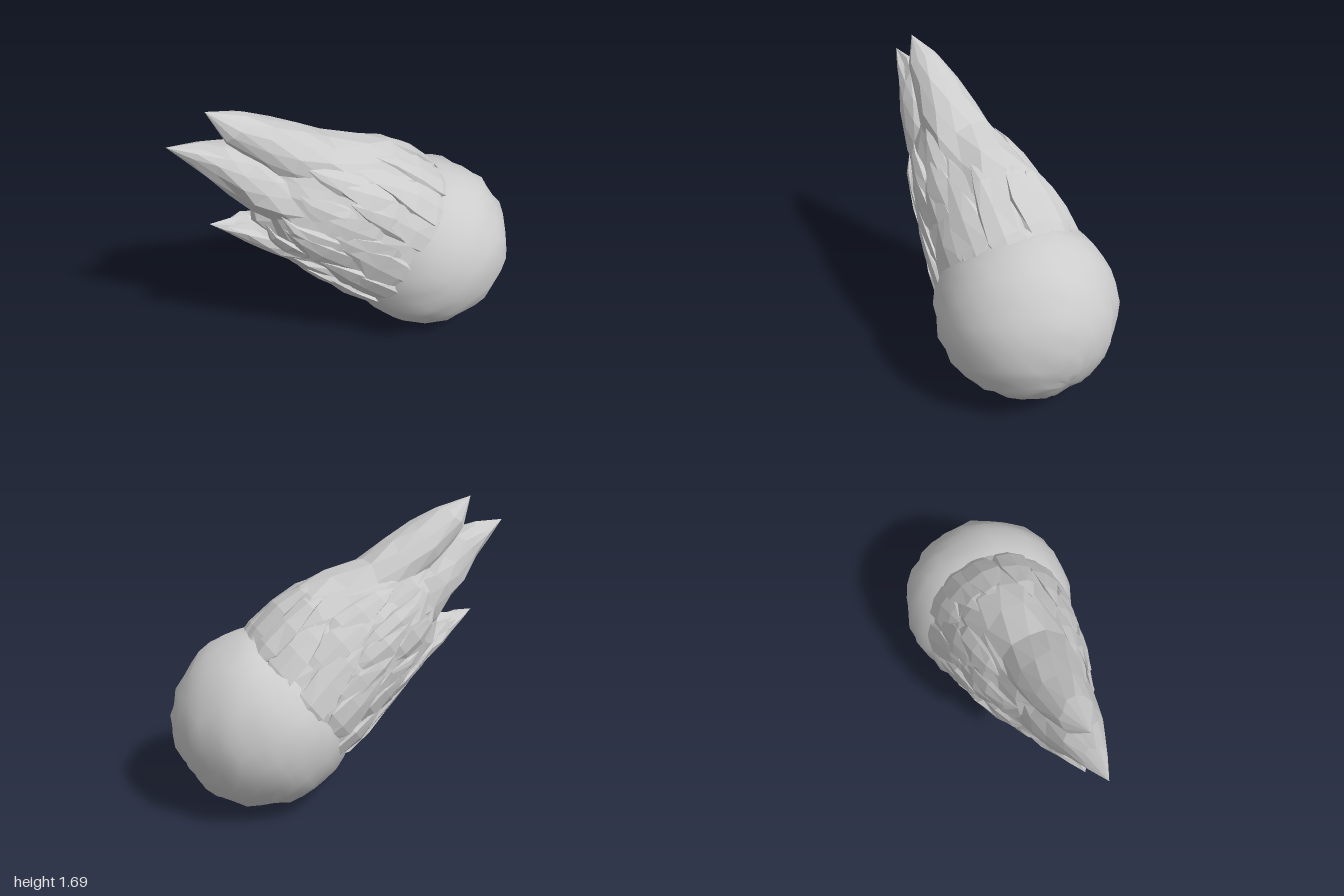
import * as THREE from 'three';
import { mergeVertices } from 'three/addons/utils/BufferGeometryUtils.js';

// Repeatable jitter in -1..1
const jitter = (a, b, c = 0) => {
  const v = Math.sin(a * 127.1 + b * 311.7 + c * 74.7) * 43758.5453;
  return (v - Math.floor(v)) * 2 - 1;
};

// Interpolates rows of [along, offset, halfHeight, halfWidth] at a distance along the tail
function sample(rows, t) {
  let i = 0;
  while (i < rows.length - 2 && rows[i + 1][0] < t) i++;
  const [p, q] = [rows[i], rows[i + 1]];
  const f = THREE.MathUtils.clamp((t - p[0]) / (q[0] - p[0]), 0, 1);
  return p.map((v, k) => v + (q[k] - v) * f);
}

// Faceted skin over rings of points; the rows run along +y
function loft(rings) {
  const n = rings[0].length, pos = [], index = [];
  rings.forEach((ring) => ring.forEach((p) => pos.push(p.x, p.y, p.z)));
  for (let i = 0; i < rings.length - 1; i++) {
    for (let j = 0; j < n; j++) {
      const a = i * n + j, b = i * n + (j + 1) % n, c = a + n, d = b + n;
      if (i % 2) index.push(a, c, d, a, d, b);
      else index.push(a, c, b, b, c, d);
    }
  }
  const geo = new THREE.BufferGeometry();
  geo.setAttribute('position', new THREE.Float32BufferAttribute(pos, 3));
  geo.setIndex(index);
  const flat = geo.toNonIndexed();
  flat.computeVertexNormals();
  return flat;
}

// Rough elliptical flame following a profile
function flame(rows, steps, sides, rough, seed) {
  const t0 = rows[0][0], t1 = rows[rows.length - 1][0], rings = [];
  for (let i = 0; i <= steps; i++) {
    const [t, s, hs, hz] = sample(rows, t0 + (t1 - t0) * i / steps);
    const ring = [];
    for (let j = 0; j < sides; j++) {
      const a = (j + (i % 2) * 0.5) / sides * Math.PI * 2;
      const k = 1 + rough * jitter(i, j, seed);
      const slide = i === steps ? 0 : 0.03 * jitter(j, i, seed + 5);
      ring.push(new THREE.Vector3(s + hs * k * Math.cos(a), t + slide, hz * k * Math.sin(a)));
    }
    rings.push(ring);
  }
  return loft(rings);
}

const BODY = [
  [0.12, 0, 0.44, 0.42], [0.24, 0, 0.455, 0.42], [0.4, 0.01, 0.455, 0.385], [0.6, 0.02, 0.43, 0.35],
  [0.85, 0, 0.375, 0.295], [1.05, -0.01, 0.315, 0.235], [1.2, 0.03, 0.23, 0.17], [1.42, 0.07, 0, 0],
];
const TIPS = {
  upperTip: [[0.26, 0.2, 0.255, 0.3], [0.6, 0.2, 0.27, 0.27], [0.8, 0.18, 0.245, 0.24], [1.0, 0.17, 0.18, 0.2],
    [1.25, 0.17, 0.14, 0.165], [1.45, 0.17, 0.12, 0.13], [1.6, 0.175, 0.075, 0.07], [1.725, 0.188, 0, 0]],
  middleTip: [[0.7, -0.05, 0.2, 0.27], [1.1, -0.04, 0.18, 0.22], [1.36, -0.03, 0.145, 0.175],
    [1.56, -0.01, 0.1, 0.1], [1.7, -0.035, 0.055, 0.05], [1.805, -0.064, 0, 0]],
  lowerTip: [[0.55, -0.23, 0.18, 0.27], [0.85, -0.27, 0.125, 0.2], [1.02, -0.305, 0.095, 0.15],
    [1.17, -0.325, 0.065, 0.09], [1.345, -0.38, 0, 0]],
};

// Point on (or lifted off) the tail body
function onBody(t, angle, lift) {
  const [, s, hs, hz] = sample(BODY, t);
  return new THREE.Vector3(s + (hs + lift) * Math.cos(angle), t, (hz + lift) * Math.sin(angle));
}

// Long, flat tongue lying along the body and rising to a point
function tongue(t, angle, length, width, lift, seed) {
  // fraction of length, fraction of width, centre lift, half thickness
  const rows = [[0, 0.5, -0.02, 0.02], [0.2, 0.95, -0.008, 0.03], [0.5, 0.9, lift * 0.3, 0.028],
    [0.78, 0.5, lift * 0.7, 0.018], [1, 0, lift, 0]];
  return loft(rows.map(([f, w, l, thick], i) => {
    const centre = onBody(t + f * length, angle, l);
    const out = new THREE.Vector3(Math.cos(angle), 0, Math.sin(angle));
    const side = new THREE.Vector3(-out.z, 0, out.x);
    return Array.from({ length: 6 }, (_, j) => {
      const a = j / 6 * Math.PI * 2, k = 1 + 0.2 * jitter(i, j, seed);
      return centre.clone().addScaledVector(out, Math.cos(a) * thick * k)
        .addScaledVector(side, Math.sin(a) * width * w * k);
    });
  }));
}

// Coarse, dented ball with softened normals and a dimple at its leading pole
function rockGeometry() {
  let geo = new THREE.SphereGeometry(1, 28, 20);
  geo.deleteAttribute('uv');
  geo.deleteAttribute('normal');
  geo = mergeVertices(geo, 1e-4);
  const p = geo.attributes.position, v = new THREE.Vector3(), n = new THREE.Vector3();
  for (let i = 0; i < p.count; i++) {
    v.fromBufferAttribute(p, i).normalize();
    const dimple = 0.015 * Math.max(0, (v.y - 0.97) / 0.03);
    const dent = v.y > 0.999 ? 0 : 0.012 * jitter(i, 2, 4);
    v.multiplyScalar(0.51 + dent - dimple);
    p.setXYZ(i, v.x, v.y, v.z);
  }
  geo.computeVertexNormals();
  const normals = geo.attributes.normal;
  for (let i = 0; i < p.count; i++) {
    v.fromBufferAttribute(p, i).normalize();
    n.fromBufferAttribute(normals, i).lerp(v, 0.55).normalize();
    normals.setXYZ(i, n.x, n.y, n.z);
  }
  return geo;
}

export function createModel() {
  const model = new THREE.Group();
  model.name = 'meteor';
  const stoneGrey = new THREE.MeshStandardMaterial({ color: 0xcccccc });
  stoneGrey.name = 'stoneGrey';
  const add = (parent, name, geo) => {
    const mesh = new THREE.Mesh(geo, stoneGrey);
    mesh.name = name;
    parent.add(mesh);
    return mesh;
  };

  // Rock, its pole pointing down and to the side
  const rock = add(model, 'rock', rockGeometry());
  rock.position.set(0.485, 0.51, 0);
  rock.rotation.z = -Math.PI * 2 / 3;

  // Tail, its own +y trailing away from the rock
  const tail = new THREE.Group();
  tail.name = 'fireTail';
  tail.position.set(0.48, 0.5, -0.015);
  tail.rotation.z = Math.atan2(0.8, 0.6);
  model.add(tail);

  add(tail, 'tailBody', flame(BODY, 9, 22, 0.03, 1));
  Object.entries(TIPS).forEach(([name, rows], i) => add(tail, name, flame(rows, 8, 12, 0.06, 20 + i)));

  // Overlapping rings of tongues, the first forming the ragged rim
  for (let r = 0; r < 4; r++) {
    const count = 14 - r;
    for (let j = 0; j < count; j++) {
      const angle = (j + (r % 2) * 0.5 + 0.25 * jitter(r, j, 3)) / count * Math.PI * 2;
      // the broad upper flame stays clear above the rim
      if (r > 0 && Math.cos(angle) > 0.65) continue;
      // the rim sits further back on the front side
      const back = r === 0 ? 0.07 * Math.max(0, Math.sin(angle)) : 0;
      const t = 0.15 + back + r * 0.19 + 0.06 * jitter(j, r, 7);
      const length = 0.52 + 0.07 * jitter(r, j, 9) - r * 0.03;
      const width = 0.115 - r * 0.012;
      add(tail, 'flameTongue', tongue(t, angle, length, width, 0.02, r * 20 + j));
    }
  }
  return model;
}
